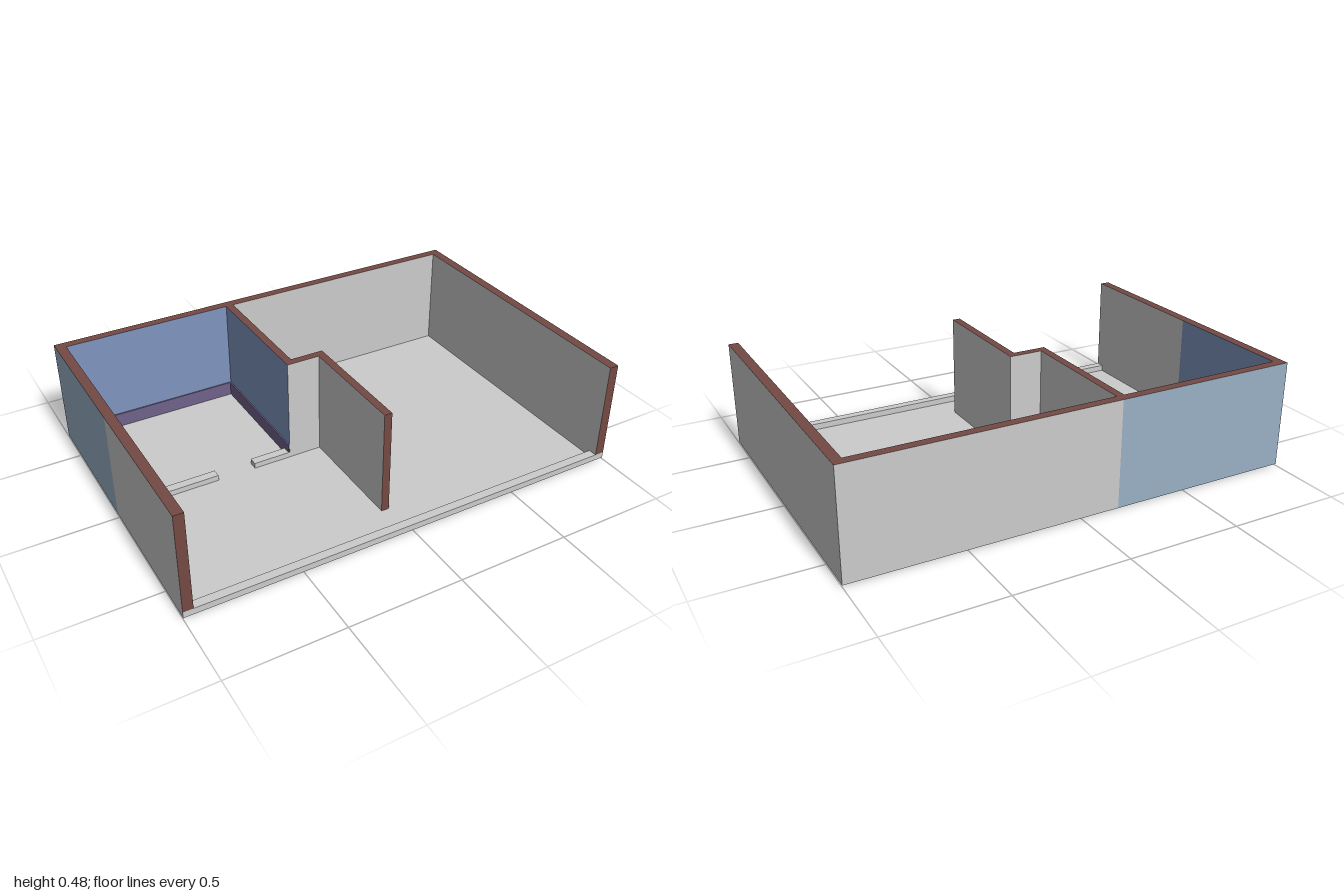
import * as THREE from 'three';

const BASE = 0.007, TOP = 0.48, CURB = 0.035;

const mat = (color) => new THREE.MeshStandardMaterial({ color, side: THREE.DoubleSide });

export function createModel() {
  const group = new THREE.Group();
  const grey = mat(0xcccccc), brown = mat(0x754a44);
  const tile = mat(0x7f95c0), cladding = mat(0x99b0c6), skirting = mat(0x70628a);

  const add = (name, geometry, material) => {
    const mesh = new THREE.Mesh(geometry, material);
    mesh.name = name;
    group.add(mesh);
    return mesh;
  };

  // Vertical wall surface following a plan polyline of [x, z] points
  const wallFace = (name, points, material, y0 = BASE, y1 = TOP) => {
    const positions = [];
    for (let i = 0; i < points.length - 1; i++) {
      const [ax, az] = points[i], [bx, bz] = points[i + 1];
      positions.push(ax, y0, az, bx, y0, bz, bx, y1, bz);
      positions.push(ax, y0, az, bx, y1, bz, ax, y1, az);
    }
    const g = new THREE.BufferGeometry();
    g.setAttribute('position', new THREE.Float32BufferAttribute(positions, 3));
    g.computeVertexNormals();
    add(name, g, material);
  };

  // Horizontal surface from a plan outline of [x, z] points
  const flat = (name, points, y, material) => {
    const shape = new THREE.Shape(points.map(([x, z]) => new THREE.Vector2(x, -z)));
    const g = new THREE.ShapeGeometry(shape).rotateX(-Math.PI / 2).translate(0, y, 0);
    add(name, g, material);
  };

  const block = (name, x0, x1, y0, y1, z0, z1, material) => {
    const g = new THREE.BoxGeometry(x1 - x0, y1 - y0, z1 - z0);
    g.translate((x0 + x1) / 2, (y0 + y1) / 2, (z0 + z1) / 2);
    add(name, g, material);
  };

  // Floor and front curb
  flat('floor', [[-0.957, 0.67], [0.957, 0.67], [0.957, -0.67], [-0.957, -0.67]], BASE, grey);
  block('frontCurb', -1, 1, BASE, CURB, 0.63, 0.67, grey);

  // Outer faces, clad around the small room
  wallFace('outerWall', [[1, 0.67], [1, -0.67], [-0.17, -0.67]], grey);
  wallFace('outerCladding', [[-0.17, -0.67], [-1, -0.67], [-1, -0.02]], cladding);
  wallFace('outerSideWall', [[-1, -0.02], [-1, 0.67]], grey);

  // Inner faces of the large room, running round the stepped partition
  wallFace('innerSideWall', [[-0.957, 0.67], [-0.957, -0.02]], grey);
  wallFace('largeRoomWall', [[-0.05, 0.505], [-0.05, -0.02], [-0.2, -0.02]], grey);
  wallFace('partitionWall', [[0.957, 0.67], [0.957, -0.63], [-0.165, -0.63],
    [-0.165, -0.055], [-0.015, -0.055], [-0.015, 0.505]], grey);

  // Tiled faces of the small room with skirting
  wallFace('roomTiles', [[-0.957, -0.02], [-0.957, -0.63], [-0.2, -0.63], [-0.2, -0.02]], tile);
  block('skirtingBack', -0.957, -0.2, BASE, 0.072, -0.63, -0.624, skirting);
  block('skirtingOuter', -0.957, -0.951, BASE, 0.072, -0.624, -0.02, skirting);
  block('skirtingInner', -0.206, -0.2, BASE, 0.072, -0.624, -0.021, skirting);

  // Cut wall tops and ends
  flat('wallTops', [[-1, 0.67], [-0.957, 0.67], [-0.957, -0.63], [-0.2, -0.63], [-0.2, -0.02],
    [-0.05, -0.02], [-0.05, 0.505], [-0.015, 0.505], [-0.015, -0.055], [-0.165, -0.055],
    [-0.165, -0.63], [0.957, -0.63], [0.957, 0.67], [1, 0.67], [1, -0.67], [-1, -0.67]], TOP, brown);
  for (const side of [-1, 1]) {
    wallFace('wallEnd', [[Math.min(side, side * 0.957), 0.67], [Math.max(side, side * 0.957), 0.67]], brown, CURB);
  }
  wallFace('partitionEnd', [[-0.05, 0.505], [-0.015, 0.505]], brown);

  // Low sills either side of the doorway
  block('sillOuter', -0.957, -0.545, 0, 0.032, -0.06, -0.02, grey);
  block('sillInner', -0.372, -0.2, 0, 0.032, -0.06, -0.02, grey);

  return group;
}
